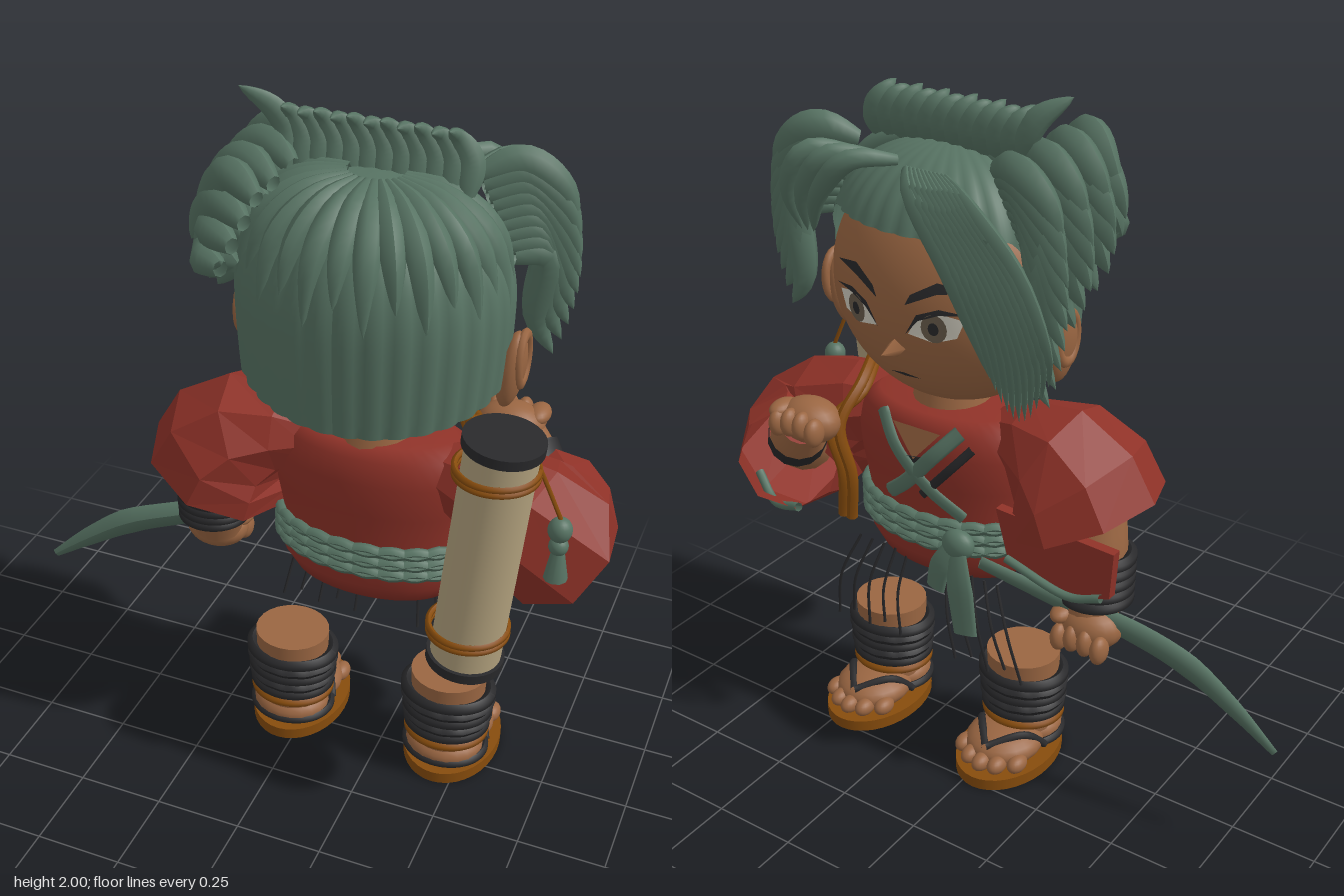
import * as THREE from 'three';

const mat = (name, color) => new THREE.MeshStandardMaterial({ name, color, side: THREE.DoubleSide });
const M = {
  hair: mat('greyGreen', 0x577363), red: mat('redCloth', 0x8f3228), skin: mat('skin', 0x9a6642),
  black: mat('blackCloth', 0x29292b), brown: mat('brownRope', 0x874c0c), cream: mat('creamPaper', 0xb3a27e),
  white: mat('eyeWhite', 0xd6d2c4), iris: mat('iris', 0x6a5d4c),
};
const V = (p) => new THREE.Vector3(...p);
const CX = 0.2; // body centre line

export function createModel() {
  const model = new THREE.Group();
  const add = (name, geo, m, pos = [0, 0, 0], scale = [1, 1, 1], rot = [0, 0, 0], parent = model) => {
    const mesh = new THREE.Mesh(geo, m);
    mesh.name = name;
    mesh.position.set(...pos); mesh.scale.set(...scale); mesh.rotation.set(...rot);
    parent.add(mesh);
    return mesh;
  };
  const group = (name) => { const g = new THREE.Group(); g.name = name; model.add(g); return g; };
  const ball = (name, m, pos, scale, parent = model, rot) => add(name, new THREE.SphereGeometry(1, 20, 14), m, pos, scale, rot, parent);

  // Tube whose radius follows radius(t), optionally squashed per axis or faceted
  const tube = (name, pts, radius, m, parent = model, { sides = 8, seg = 14, flat = false, squash = [1, 1, 1], closed = false } = {}) => {
    const curve = new THREE.CatmullRomCurve3(pts.map(V), closed);
    let g = new THREE.TubeGeometry(curve, seg, 1, sides, closed);
    const p = g.attributes.position, v = new THREE.Vector3();
    const rad = typeof radius === 'number' ? () => radius : radius;
    for (let i = 0; i < p.count; i++) {
      const t = Math.floor(i / (sides + 1)) / seg, c = curve.getPointAt(t);
      v.fromBufferAttribute(p, i).sub(c).multiplyScalar(rad(t)).multiply(V(squash)).add(c);
      p.setXYZ(i, v.x, v.y, v.z);
    }
    if (flat) g = g.toNonIndexed();
    g.computeVertexNormals();
    return add(name, g, m, undefined, undefined, undefined, parent);
  };
  const lock = (pts, r, parent, opt) => tube('hairLock', pts, (t) => r * Math.pow(Math.max(0, Math.sin(Math.PI * (0.12 + 0.88 * t))), 0.75), M.hair, parent, opt);
  const steps = (a) => (t) => { const f = Math.min(t * (a.length - 1), a.length - 1.001), i = Math.floor(f); return a[i] + (a[i + 1] - a[i]) * (f - i); };
  // Closed ring around a vertical axis
  const ring = (name, x, y, z, rx, rz, r, m, parent, wave = 0, phase = 0) => tube(name,
    Array.from({ length: 48 }, (_, i) => {
      const a = i / 48 * Math.PI * 2;
      return [x + rx * Math.cos(a), y + wave * Math.sin(12 * a + phase), z + rz * Math.sin(a)];
    }), r, m, parent, { seg: 96, closed: true, sides: 6 });
  // Thin painted patch projected on a front surface z = f(x, y)
  const patch = (name, pts, m, f, off, parent) => {
    const s = new THREE.Shape(); s.setFromPoints(pts.map((q) => new THREE.Vector2(...q)));
    const g = new THREE.ShapeGeometry(s), p = g.attributes.position;
    for (let i = 0; i < p.count; i++) p.setZ(i, f(p.getX(i), p.getY(i)) - off);
    g.computeVertexNormals();
    add(name, g, m, undefined, undefined, undefined, parent);
  };
  const oval = (x, y, rx, ry, n = 18) => Array.from({ length: n }, (_, i) => [x + rx * Math.cos(i / n * 2 * Math.PI), y + ry * Math.sin(i / n * 2 * Math.PI)]);

  // Head and face
  const head = group('head');
  const faceZ = (x, y) => 0.01 - 0.27 * Math.sqrt(Math.max(0, 1 - ((x - CX) / 0.35) ** 2 - ((y - 1.45) / 0.34) ** 2));
  add('skull', new THREE.SphereGeometry(1, 48, 32), M.skin, [CX, 1.45, 0.01], [0.35, 0.34, 0.27], undefined, head);
  add('neck', new THREE.CylinderGeometry(0.1, 0.12, 0.12, 20), M.skin, [CX, 1.11, 0], undefined, undefined, head);
  add('nose', new THREE.ConeGeometry(0.03, 0.07, 4), M.skin, [CX, 1.34, -0.275], undefined, [-Math.PI / 2, 0, 0], head);
  patch('mouth', [[0.15, 1.245], [0.2, 1.255], [0.25, 1.245], [0.2, 1.243]], M.black, faceZ, 0.006, head);
  for (const s of [-1, 1]) {
    const q = (pts) => pts.map(([x, y]) => [CX + s * x, y]);
    patch('eyeWhite', q([[0.05, 1.395], [0.08, 1.445], [0.14, 1.465], [0.2, 1.45], [0.18, 1.4], [0.12, 1.38]]), M.white, faceZ, 0.005, head);
    patch('iris', q(oval(0.125, 1.422, 0.034, 0.04)), M.iris, faceZ, 0.008, head);
    patch('pupil', q(oval(0.125, 1.422, 0.014, 0.018)), M.black, faceZ, 0.0095, head);
    patch('eyelid', q([[0.045, 1.395], [0.08, 1.455], [0.14, 1.478], [0.215, 1.465], [0.14, 1.462], [0.085, 1.44]]), M.black, faceZ, 0.009, head);
    patch('eyebrow', q([[0.045, 1.475], [0.06, 1.505], [0.13, 1.545], [0.22, 1.525], [0.13, 1.515]]), M.black, faceZ, 0.006, head);
    ball('ear', M.skin, [CX + s * 0.36, 1.35, -0.01], [0.035, 0.11, 0.055], head, [0, 0, -s * 0.12]);
    add('earRim', new THREE.TorusGeometry(0.045, 0.012, 8, 20), M.skin, [CX + s * 0.385, 1.38, -0.02], [1, 1.5, 1], [0, Math.PI / 2, 0], head);
  }

  // Hair cap: scalloped dome, long at the back and high over the forehead
  const hair = group('hair');
  const capR = (y) => y > 1.5 ? Math.pow(Math.max(0, 1 - ((y - 1.5) / 0.34) ** 2.4), 1 / 2.2) : 1 - 0.35 * (1.5 - y) ** 1.5;
  const capPt = (a, y, k = 1) => [CX + 0.36 * k * capR(y) * Math.sin(a), y, 0.03 + 0.29 * k * capR(y) * Math.cos(a)];
  const hem = (a) => {
    const c = Math.cos(a);
    return c > 0 ? 1.33 - 0.08 * c : 1.33 + 0.32 * THREE.MathUtils.smoothstep(-c, 0.05, 0.6);
  };
  const NA = 160, NR = 24, pos = [], idx = [];
  for (let j = 0; j <= NR; j++) for (let i = 0; i <= NA; i++) {
    const a = i / NA * Math.PI * 2, t = j / NR;
    const y = 1.84 - (1.84 - hem(a)) * (1 - Math.cos(t * Math.PI / 2));
    pos.push(...capPt(a, y, 0.985 + 0.025 * Math.abs(Math.sin(a * 16))));
    if (j < NR && i < NA) { const k = j * (NA + 1) + i; idx.push(k, k + NA + 1, k + 1, k + 1, k + NA + 1, k + NA + 2); }
  }
  const cap = new THREE.BufferGeometry();
  cap.setAttribute('position', new THREE.Float32BufferAttribute(pos, 3));
  cap.setIndex(idx); cap.computeVertexNormals();
  add('hairCap', cap, M.hair, undefined, undefined, undefined, hair);

  // Short thick locks radiating from the crown
  for (let i = 0; i < 17; i++) {
    const a = -1.75 + i * 3.5 / 16, low = 1.6 - 0.06 * (i % 2);
    lock([capPt(a, 1.835, 0.9), capPt(a, 1.8, 1), capPt(a, 1.72, 1.0), capPt(a, low, 1.0)], 0.035, hair);
  }
  // Crest standing along the crown
  for (let i = 0; i < 12; i++) {
    const x = -0.07 + i * 0.043, tip = i === 0 ? 2.0 : 1.95 + 0.012 * (i % 2);
    lock([[x + 0.02, 1.8, 0.01], [x + 0.015, 1.88, -0.025], [x - 0.02, 1.94, -0.02], [x - (i ? 0.03 : 0.1), tip, 0.015]], 0.036, hair, { squash: [1, 1, 0.7] });
  }
  // Feathered side wings
  const wing = (s, z, n, reach, bottom) => {
    for (let i = 0; i < n; i++) {
      const t = i / (n - 1), out = reach * (1 - 0.16 * t * t - 0.1 * (1 - t) ** 2), y = 1.7 - (1.7 - bottom) * t;
      const r = CX + s * (0.22 + 0.1 * t), top = 1.82 - 0.2 * t;
      lock([[r, top, z + 0.05], [CX + s * (0.31 + 0.08 * t), top + 0.03 * (1 - t), z], [CX + s * (out - 0.05), y + 0.09, z - 0.02], [CX + s * out, y, z - 0.02]], 0.048, hair, { squash: [1, 1, 0.75] });
    }
  };
  wing(1, -0.14, 9, 0.51, 1.33);
  wing(-1, -0.15, 9, 0.51, 1.25);
  wing(-1, -0.02, 6, 0.5, 1.42);
  wing(-1, 0.1, 5, 0.49, 1.48);
  wing(-1, 0.2, 4, 0.46, 1.55);
  // Fringe curtain swept across one side of the face
  for (let i = 0; i < 11; i++) {
    const t = i / 10;
    lock([[0.2 - 0.12 * t, 1.8, -0.18], [0.13 - 0.18 * t, 1.77, -0.26], [0.0 - 0.18 * t, 1.62, -0.29 + 0.04 * t], [-0.08 - 0.17 * t, 1.42, -0.27 + 0.05 * t], [-0.1 - 0.13 * t, 1.33 - 0.12 * Math.sin(t * 3), -0.25 + 0.07 * t]], 0.03, hair, { squash: [1, 1, 0.6] });
  }
  for (const k of [0, 1, 2]) lock([[0.25 + 0.07 * k, 1.81, -0.15], [0.33 + 0.07 * k, 1.82, -0.24], [0.43 + 0.05 * k, 1.72, -0.25], [0.5 + 0.02 * k, 1.58, -0.2]], 0.03, hair);

  // Jacket body
  const profile = [[0, 0.61], [0.23, 0.61], [0.265, 0.66], [0.27, 0.72], [0.265, 0.8], [0.285, 0.9], [0.295, 1.0], [0.27, 1.07], [0.22, 1.105], [0, 1.11]];
  add('jacket', new THREE.LatheGeometry(profile.map((p) => new THREE.Vector2(...p)), 40), M.red, [CX, 0, -0.02], [1, 1, 0.56]);
  const chestZ = (x, y) => {
    let i = 1; while (i < profile.length - 2 && profile[i + 1][1] < y) i++;
    const [r0, y0] = profile[i], [r1, y1] = profile[i + 1], r = r0 + (r1 - r0) * (y - y0) / (y1 - y0);
    return -0.02 - 0.56 * Math.sqrt(Math.max(0, r * r - (x - CX) ** 2));
  };
  const front = group('chestFront');
  const on = (pts, d = 0.005) => pts.map(([x, y]) => [x, y, chestZ(x, y) - d]);
  patch('chestSkin', [[0.12, 1.07], [0.2, 0.98], [0.28, 1.07]], M.skin, chestZ, 0.007, front);
  patch('undershirt', [[0.12, 1.0], [0.2, 0.93], [0.27, 0.98], [0.2, 0.99]], M.black, chestZ, 0.009, front);
  const flatTrim = { squash: [1, 1, 0.4], seg: 20 };
  tube('collarLeft', on([[0.33, 1.08], [0.26, 1.0], [0.16, 0.9], [0.06, 0.82]]), 0.022, M.hair, front, flatTrim);
  tube('collarRight', on([[0.07, 1.08], [0.14, 1.0], [0.23, 0.9], [0.3, 0.84]]), 0.022, M.hair, front, flatTrim);
  tube('collarShadow', on([[0.03, 1.04], [0.09, 0.97], [0.18, 0.87]]), 0.013, M.black, front, flatTrim);

  // Braided sash with hanging tails
  const sash = group('sash');
  add('sashBand', new THREE.CylinderGeometry(0.277, 0.277, 0.1, 40, 1, true), M.hair, [CX, 0.755, -0.02], [1, 1, 0.57], undefined, sash);
  for (let k = 0; k < 3; k++) for (const ph of [0, Math.PI]) ring('sashBraid', CX, 0.72 + k * 0.036, -0.02, 0.278, 0.16, 0.014, M.hair, sash, 0.007, ph);
  ball('sashKnot', M.hair, [0.06, 0.75, -0.18], [0.05, 0.045, 0.035], sash);
  tube('sashTail', [[0.06, 0.75, -0.19], [0.03, 0.65, -0.22], [0.0, 0.5, -0.235]], steps([0.03, 0.045, 0.04]), M.hair, sash, { squash: [1, 1, 0.25] });
  tube('sashTail', [[0.06, 0.75, -0.19], [0.1, 0.68, -0.21], [0.12, 0.6, -0.21]], steps([0.03, 0.035, 0.03]), M.hair, sash, { squash: [1, 1, 0.25] });

  // Thin hanging cords above the legs
  const cords = group('legCords');
  for (const s of [-1, 1]) for (let i = 0; i < 5; i++) {
    const a = 0.07 + i * 0.043, b = 0.1 + i * 0.058;
    tube('cord', [[CX + s * a, 0.63, -0.14], [CX + s * (a + (b - a) * 0.6), 0.5, -0.17], [CX + s * b, i % 2 ? 0.36 : 0.33, -0.15]], 0.0045, M.black, cords, { sides: 5 });
  }

  // Lower legs and sandals
  for (const x of [-0.04, 0.45]) {
    const leg = group(x < CX ? 'rightLeg' : 'leftLeg');
    add('shin', new THREE.CylinderGeometry(0.11, 0.1, 0.29, 24), M.skin, [x, 0.19, 0], [1, 1, 0.95], undefined, leg);
    for (let k = 0; k < 5; k++) ring('legWrap', x, 0.16 + k * 0.028, 0, 0.112 + 0.003 * k, 0.1, 0.018, M.black, leg, 0.001 * (k % 2));
    ring('ankleRope', x, 0.13, 0, 0.115, 0.105, 0.012, M.brown, leg);
    add('sole', new THREE.CylinderGeometry(1, 1, 0.035, 36), M.brown, [x, 0.0175, -0.075], [0.14, 1, 0.195], undefined, leg);
    ball('heel', M.skin, [x, 0.075, 0.01], [0.115, 0.055, 0.1], leg);
    ball('foot', M.skin, [x, 0.07, -0.1], [0.115, 0.055, 0.12], leg);
    for (let k = 0; k < 5; k++) ball('toe', M.skin, [x + (k - 2) * 0.046, 0.06, -0.22 + 0.012 * (k - 2) ** 2], [0.026, 0.026, 0.038], leg);
    ring('heelStrap', x, 0.065, 0, 0.118, 0.105, 0.012, M.black, leg);
    for (const s of [-1, 1]) tube('toeStrap', [[x + s * 0.11, 0.06, -0.05], [x + s * 0.075, 0.115, -0.11], [x, 0.1, -0.2]], 0.012, M.black, leg);
  }

  // Fist with curled fingers
  const fist = (g, x, y, z, dir) => {
    ball('palm', M.skin, [x, y, z], [0.095, 0.065, 0.075], g);
    for (let k = 0; k < 4; k++) ball('finger', M.skin, [x + (k - 1.5) * 0.042, y - 0.01 * Math.abs(k - 1.5) + dir * 0.015, z - 0.06], [0.024, 0.042, 0.035], g);
    ball('thumb', M.skin, [x + 0.07, y + 0.03, z - 0.03], [0.032, 0.025, 0.05], g);
  };

  // Lowered arm holding the curved blade
  const armR = group('rightArm');
  const sleeve = { sides: 8, seg: 4, flat: true };
  tube('sleeve', [[0.04, 1.04, 0], [-0.14, 1.02, 0], [-0.22, 0.95, 0], [-0.255, 0.87, 0]], steps([0.07, 0.12, 0.17, 0.205, 0.215]), M.red, armR, { ...sleeve, squash: [1, 1, 1.08] });
  add('sleeveFlap', new THREE.ExtrudeGeometry(new THREE.Shape([[-0.43, 0.88], [-0.42, 0.74], [-0.3, 0.7], [-0.1, 0.75], [-0.06, 0.9]].map((p) => new THREE.Vector2(...p))), { depth: 0.03, bevelEnabled: false }), M.red, [0, 0, -0.17], undefined, undefined, armR);
  tube('sleeveTrim', [[-0.4, 0.74, -0.18], [-0.3, 0.71, -0.18], [-0.1, 0.76, -0.18]], 0.012, M.hair, armR);
  tube('forearm', [[-0.24, 0.98, 0], [-0.28, 0.8, -0.02], [-0.31, 0.6, -0.07]], steps([0.1, 0.095, 0.075]), M.skin, armR, { sides: 16 });
  for (let k = 0; k < 5; k++) ring('wristWrap', -0.31 + 0.005 * k, 0.66 + k * 0.028, -0.05 + 0.006 * k, 0.09 + 0.003 * k, 0.088, 0.018, M.black, armR);
  fist(armR, -0.32, 0.58, -0.09, -1);
  tube('blade', [[-0.02, 0.725, -0.19], [-0.22, 0.66, -0.14], [-0.42, 0.6, -0.08], [-0.6, 0.535, -0.055], [-0.74, 0.445, -0.045], [-0.87, 0.345, -0.04]], steps([0.022, 0.026, 0.035, 0.04, 0.042, 0.03, 0.012]), M.hair, armR, { sides: 4, seg: 24, squash: [1, 1, 0.35] });

  // Raised arm gripping the strap
  const armL = group('leftArm');
  tube('sleeve', [[0.38, 1.02, 0], [0.54, 0.98, 0], [0.69, 0.87, -0.01], [0.68, 0.84, -0.12], [0.62, 0.87, -0.23]], steps([0.08, 0.14, 0.2, 0.19, 0.15]), M.red, armL, { ...sleeve, seg: 5 });
  tube('sleeveTrim', [[0.78, 0.76, -0.19], [0.7, 0.7, -0.22], [0.57, 0.74, -0.26]], 0.013, M.hair, armL);
  tube('forearm', [[0.67, 0.86, -0.1], [0.61, 0.93, -0.2], [0.54, 1.02, -0.25]], steps([0.09, 0.08, 0.065]), M.skin, armL, { sides: 14 });
  tube('wristWrap', [[0.62, 0.92, -0.19], [0.57, 0.98, -0.235]], 0.085, M.black, armL, { sides: 14 });
  fist(armL, 0.51, 1.04, -0.25, 1);

  // Scroll tube, its caps, ropes and tassel
  const scroll = group('scrollTube');
  const place = (name, geo, m, y) => add(name, geo, m, [0.582 + (y - 0.935) * 0.09, y, 0.215], undefined, [0, 0, -0.09], scroll);
  place('case', new THREE.CylinderGeometry(0.095, 0.095, 0.68, 32), M.cream, 0.935);
  for (const y of [0.592, 1.278]) place('endCap', new THREE.CylinderGeometry(0.105, 0.105, 0.028, 32), M.black, y);
  for (const y of [0.685, 1.19]) for (const d of [-0.008, 0.008]) ring('caseRope', 0.575 + (y - 0.935) * 0.09, y + d, 0.21, 0.105, 0.103, 0.009, M.brown, scroll);
  for (const d of [0, 0.03]) tube('strap', [[0.53, 1.19 - d, 0.13], [0.47, 1.17 - d, 0.0], [0.42, 1.13 - d, -0.13], [0.43 + d, 1.03, -0.22], [0.4 + d, 0.88, -0.215], [0.42 + d, 0.73, -0.2]], 0.017, M.brown, scroll, { seg: 30 });
  tube('tasselCord', [[0.67, 1.28, 0.2], [0.71, 1.18, 0.18], [0.76, 1.05, 0.16]], 0.006, M.brown, scroll);
  ball('tasselBead', M.hair, [0.76, 1.02, 0.16], [0.032, 0.035, 0.032], scroll);
  ball('tasselBead', M.hair, [0.76, 0.97, 0.16], [0.026, 0.026, 0.026], scroll);
  add('tassel', new THREE.CylinderGeometry(0.016, 0.032, 0.09, 10), M.hair, [0.76, 0.915, 0.16], undefined, undefined, scroll);

  return model;
}
